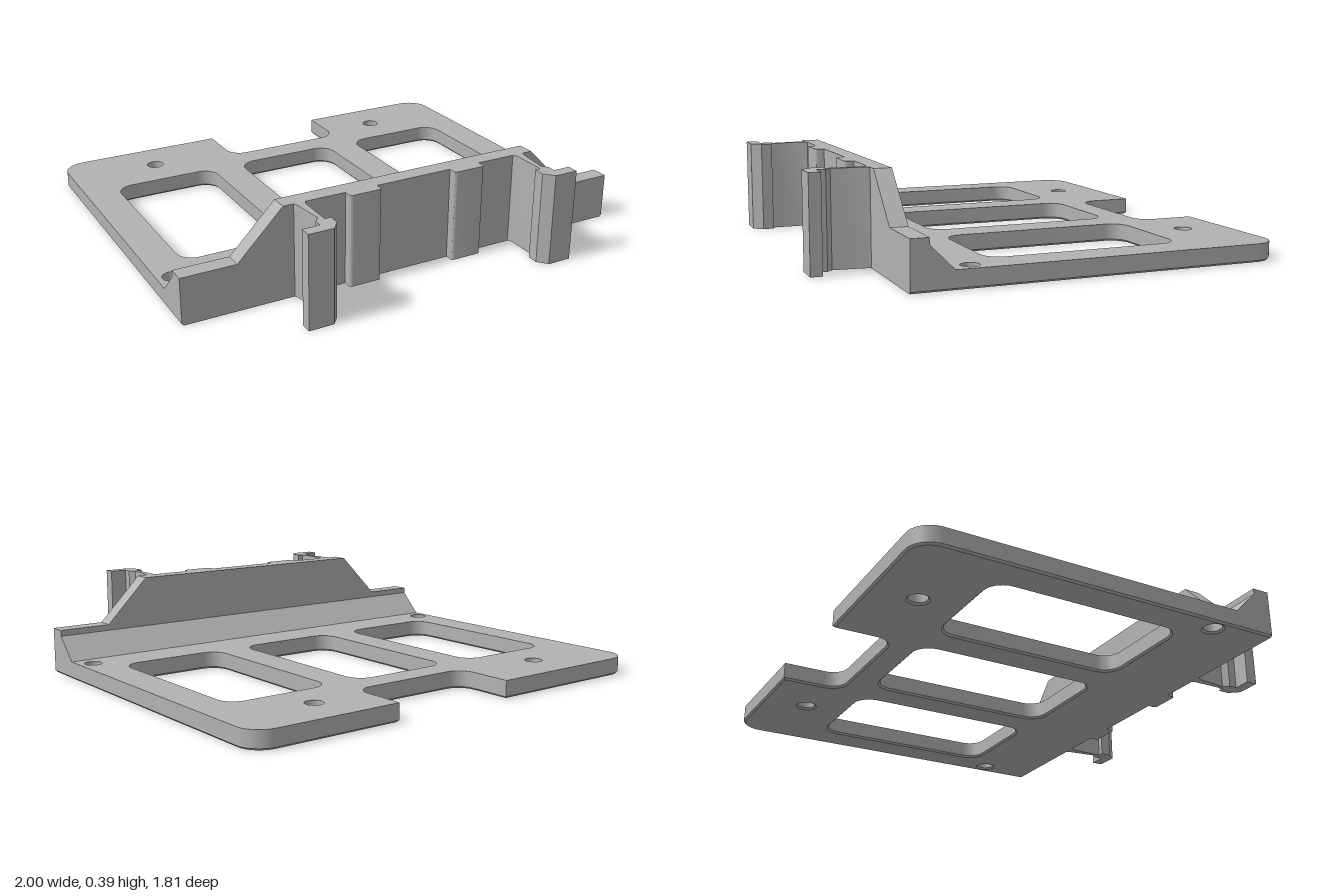
import * as THREE from 'three';
import { toCreasedNormals } from 'three/addons/utils/BufferGeometryUtils.js';

const BACK = -0.905, FACE = 0.645, WALL_BACK = 0.572, HEIGHT = 0.393;
const PLATE = 0.075, EDGE = 0.008;

// Path in the ground plane; each corner is [x, z, radius]
function roundedPath(corners, Type = THREE.Shape) {
  const path = new Type();
  const n = corners.length;
  const points = corners.map(([x, z]) => new THREE.Vector2(x, -z));
  points.forEach((p, i) => {
    const r = corners[i][2] || 0;
    const toward = (q) => q.clone().sub(p).setLength(r).add(p);
    const a = r ? toward(points[(i + n - 1) % n]) : p;
    const b = r ? toward(points[(i + 1) % n]) : p;
    if (i === 0) path.moveTo(a.x, a.y);
    else path.lineTo(a.x, a.y);
    if (r) {
      // cubic approximation of a quarter circle
      const c1 = a.clone().lerp(p, 0.5523), c2 = b.clone().lerp(p, 0.5523);
      path.bezierCurveTo(c1.x, c1.y, c2.x, c2.y, b.x, b.y);
    }
  });
  path.closePath();
  return path;
}

// Extrude a ground-plane shape upwards
function upright(shape, depth, options = {}) {
  const geo = new THREE.ExtrudeGeometry(shape, { depth, bevelEnabled: false, curveSegments: 10, ...options });
  geo.rotateX(-Math.PI / 2);
  return toCreasedNormals(geo, 0.5);
}

function plateShape() {
  const shape = roundedPath([
    [-1, FACE], [1, FACE], [1, BACK, 0.1],
    [0.345, BACK], [0.345, -0.648, 0.075], [-0.225, -0.648, 0.075], [-0.225, BACK],
    [-1, BACK, 0.1],
  ]);
  // three rounded windows
  for (const [l, r] of [[-0.855, -0.383], [-0.24, 0.236], [0.38, 0.852]]) {
    shape.holes.push(roundedPath(
      [[l, -0.53, 0.075], [r, -0.53, 0.075], [r, 0.293, 0.075], [l, 0.293, 0.075]], THREE.Path));
  }
  // four screw holes
  for (const [x, z] of [[-0.6, -0.713], [0.595, -0.713], [-0.94, 0.396], [0.938, 0.396]]) {
    shape.holes.push(new THREE.Path().absarc(x, -z, 0.038, 0, Math.PI * 2, true));
  }
  return shape;
}

export function createModel() {
  const group = new THREE.Group();
  group.name = 'mountingTray';
  const grey = new THREE.MeshStandardMaterial({ color: 0xb2b2b2 });
  grey.name = 'grey';
  const add = (name, geo, y = 0) => {
    const mesh = new THREE.Mesh(geo, grey);
    mesh.name = name;
    mesh.position.y = y;
    group.add(mesh);
    return mesh;
  };

  // Plate, with a thin chamfered layer beneath it
  const shape = plateShape();
  add('plate', upright(shape, PLATE - EDGE), EDGE);
  add('plateLowerEdge', upright(shape, 0.001, {
    bevelEnabled: true, bevelSegments: 1, bevelThickness: EDGE, bevelSize: EDGE, bevelOffset: -EDGE,
  }), EDGE);

  // Front wall with a raised middle and sloping shoulders
  const half = [[1 - EDGE, 0], [1, EDGE], [1, 0.198], [0.77, 0.198], [0.577, HEIGHT]];
  const outline = [...half, ...half.map(([x, y]) => [-x, y]).reverse()];
  const wall = new THREE.ExtrudeGeometry(
    new THREE.Shape(outline.map(([x, y]) => new THREE.Vector2(x, y))),
    { depth: FACE - WALL_BACK, bevelEnabled: false });
  wall.translate(0, 0, WALL_BACK);
  add('frontWall', wall);

  // Sloping fillet between plate and wall, drawn in the z-y plane
  const fillet = new THREE.ExtrudeGeometry(
    new THREE.Shape([[0.475, PLATE], [WALL_BACK, PLATE], [WALL_BACK, 0.172]]
      .map(([z, y]) => new THREE.Vector2(-z, y))),
    { depth: 2, bevelEnabled: false });
  fillet.rotateY(Math.PI / 2);
  fillet.translate(-1, 0, 0);
  add('fillet', fillet);

  // Mirrored clip hooks and ribs on the face of the wall
  for (const [side, s] of [['left', 1], ['right', -1]]) {
    const mirror = (points) => points.map(([x, z, r]) => [s * x, z, r]);
    add(side + 'Hook', upright(roundedPath(mirror([
      [0.483, FACE - 0.01], [0.483, FACE], [0.492, 0.662], [0.492, 0.815], [0.466, 0.815],
      [0.466, 0.862], [0.5, 0.903], [0.605, 0.903], [0.605, 0.854], [0.531, 0.854],
      [0.531, 0.818], [0.51, 0.795], [0.526, 0.662], [0.533, FACE], [0.533, FACE - 0.01],
    ])), HEIGHT));
    add(side + 'Rib', upright(roundedPath(mirror([
      [0.17, FACE - 0.01], [0.17, 0.684, 0.012], [0.311, 0.684, 0.012], [0.311, FACE - 0.01],
    ])), HEIGHT));
  }
  return group;
}
